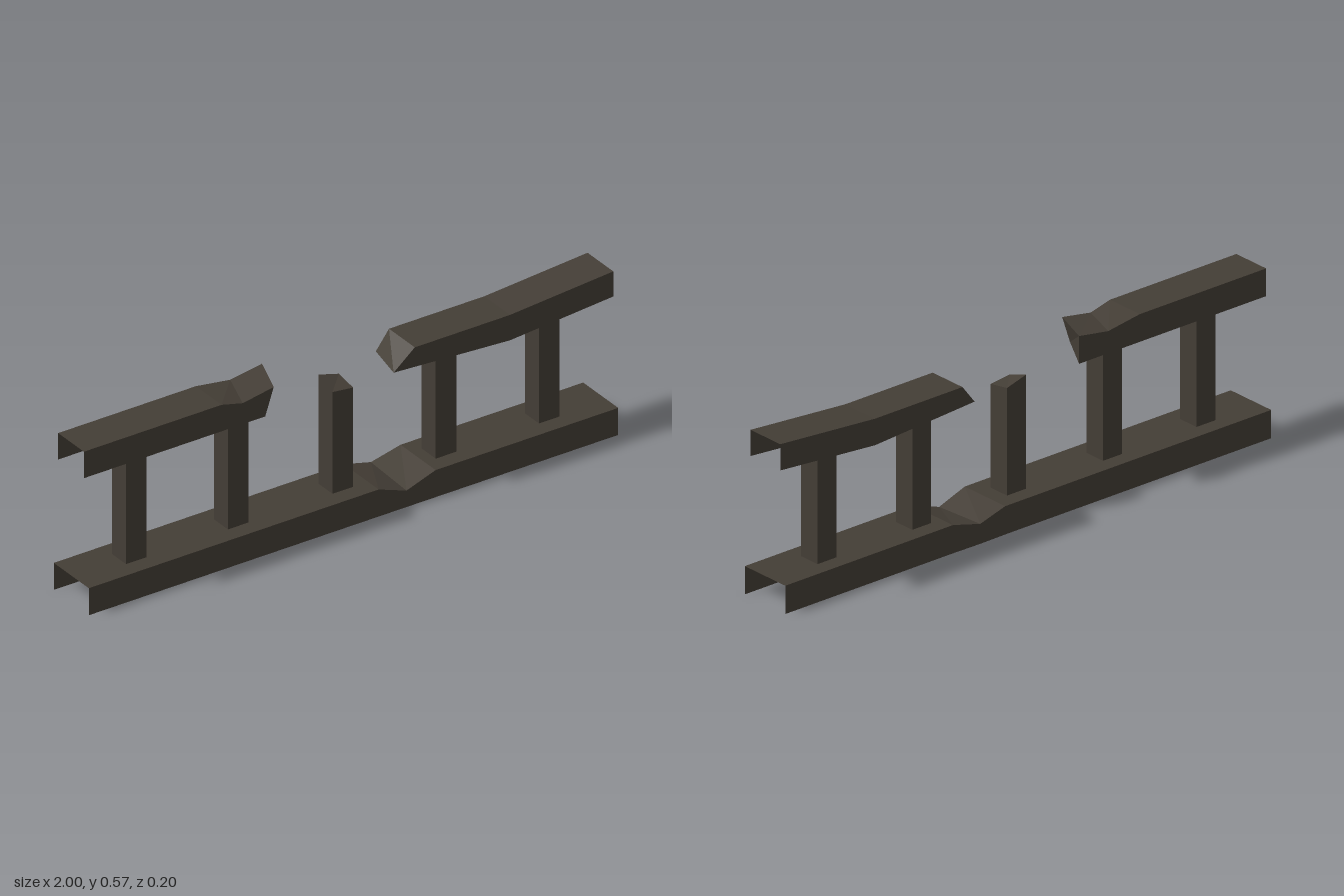
import * as THREE from 'three';

const iron = new THREE.MeshStandardMaterial({ color: 0x443e36, side: THREE.DoubleSide });
iron.name = 'dark iron';

// Faceted mesh from quads given as four corner points each
function quadMesh(name, quads) {
  const pos = [];
  for (const [a, b, c, d] of quads) pos.push(...a, ...b, ...c, ...a, ...c, ...d);
  const geo = new THREE.BufferGeometry();
  geo.setAttribute('position', new THREE.Float32BufferAttribute(pos, 3));
  geo.computeVertexNormals();
  const mesh = new THREE.Mesh(geo, iron);
  mesh.name = name;
  return mesh;
}

// Channel open underneath, lofted through sections of four corners:
// front bottom, front top, back top, back bottom
function channel(name, sections, capStart, capEnd) {
  const quads = [];
  for (let i = 0; i < sections.length - 1; i++) {
    const s = sections[i], t = sections[i + 1];
    for (let j = 0; j < 3; j++) quads.push([s[j], t[j], t[j + 1], s[j + 1]]);
  }
  const first = sections[0], last = sections[sections.length - 1];
  if (capStart) quads.push([first[0], first[1], first[2], first[3]]);
  if (capEnd) quads.push([last[0], last[3], last[2], last[1]]);
  return quadMesh(name, quads);
}

// Straight section at x
const section = (x, bottom, top, zFront, zBack) => [
  [x, bottom, zFront], [x, top, zFront], [x, top, zBack], [x, bottom, zBack],
];

export function createModel() {
  const model = new THREE.Group();
  model.name = 'brokenRailing';

  // Base rail with a dent in its top
  const F = 0.098, B = -0.095;
  model.add(channel('baseRail', [
    section(-1, 0, 0.097, F, B),
    section(0.095, 0, 0.097, F, B),
    [[0.2, 0, F], [0.2, 0.059, F], [0.2, 0.069, -0.098], [0.2, 0, -0.097]],
    section(0.31, 0, 0.097, F, B),
    section(1, 0, 0.097, F, B),
  ]));

  // Hand rail on the -x side, dented and snapped at an angle
  const w = 0.071;
  model.add(channel('rightHandRail', [
    section(-1, 0.479, 0.574, w, -w),
    section(-0.48, 0.479, 0.574, w, -w),
    [[-0.4, 0.479, w], [-0.4, 0.554, w], [-0.35, 0.555, -w], [-0.35, 0.479, -w]],
    [[-0.315, 0.479, w], [-0.283, 0.574, w], [-0.23, 0.574, -w], [-0.23, 0.479, -w]],
  ], false, true));

  // Hand rail on the +x side, sagging in the middle
  model.add(channel('leftHandRail', [
    [[0.17, 0.479, w], [0.25, 0.544, w], [0.25, 0.544, -w], [0.2, 0.479, -w]],
    section(0.61, 0.453, 0.544, w, -w),
    section(1, 0.484, 0.574, w, -w),
  ], true, false));

  // Posts; the middle one is broken off with a slanted top
  const h = 0.039;
  for (const x of [-0.78, -0.395, 0, 0.39, 0.78]) {
    const broken = x === 0;
    const geo = new THREE.BoxGeometry(2 * h, 0.392, 2 * h).toNonIndexed();
    geo.translate(x, 0.291, 0);
    const p = geo.attributes.position;
    for (let i = 0; i < p.count; i++) {
      if (!broken || p.getY(i) < 0.3) continue;
      const front = p.getZ(i) > 0, plusX = p.getX(i) > 0;
      p.setY(i, front ? (plusX ? 0.453 : 0.462) : (plusX ? 0.466 : 0.488));
    }
    geo.computeVertexNormals();
    const post = new THREE.Mesh(geo, iron);
    post.name = broken ? 'brokenPost' : 'post';
    model.add(post);
  }
  return model;
}
